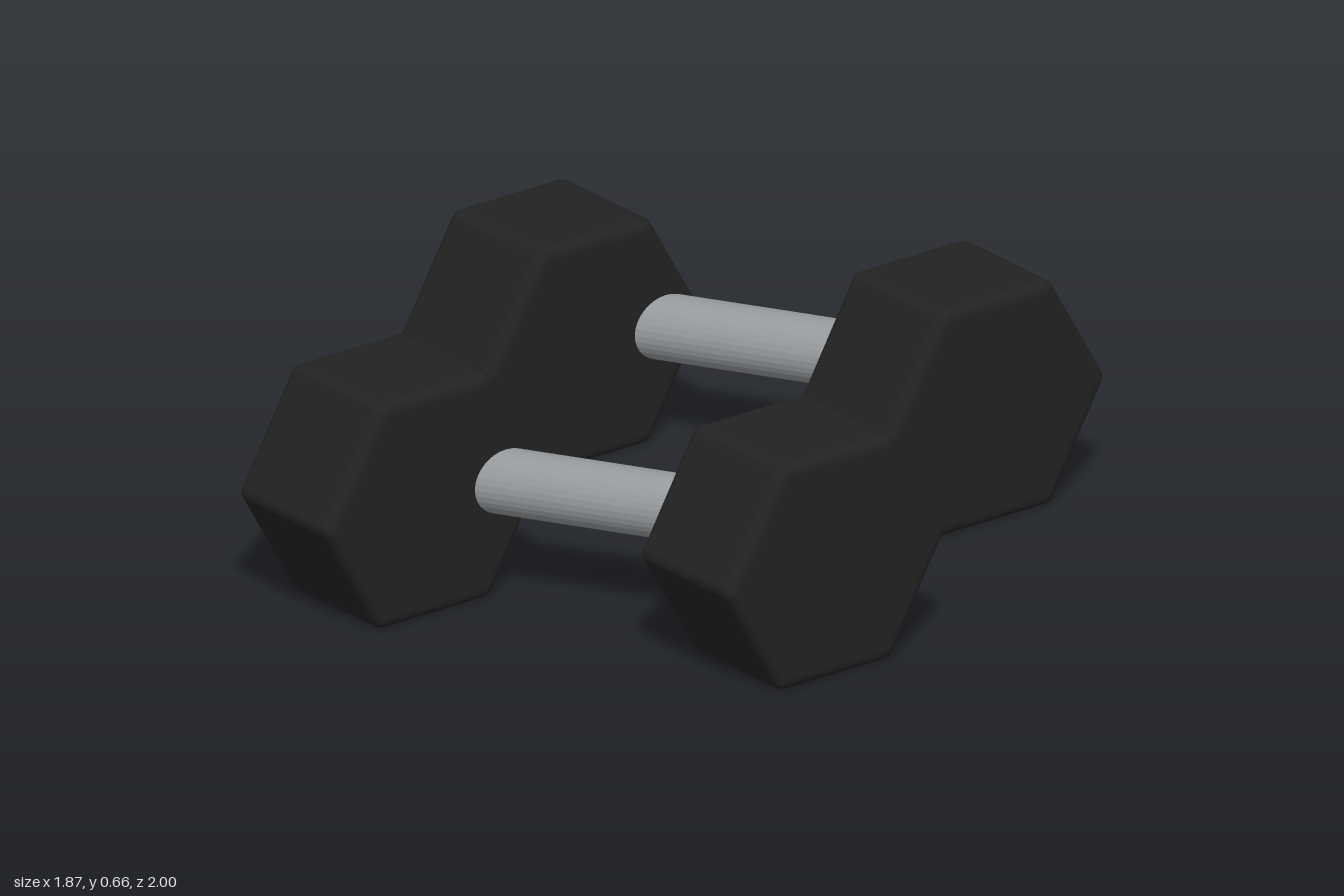
import * as THREE from 'three';
import { mergeVertices } from 'three/addons/utils/BufferGeometryUtils.js';

const APOTHEM = 0.33, THICKNESS = 0.4, BEVEL = 0.032, CORNER = 0.008;

// Hexagonal prism with softly rounded edges, lying along its local z axis
function hexHeadGeometry() {
  const points = [];
  const reach = (APOTHEM - BEVEL - CORNER) / Math.cos(Math.PI / 6);
  for (let k = 0; k < 6; k++) {
    const a = k * Math.PI / 3;
    for (let j = -2; j <= 2; j++) {
      const b = a + j * Math.PI / 12;
      points.push(new THREE.Vector2(
        reach * Math.cos(a) + CORNER * Math.cos(b),
        reach * Math.sin(a) + CORNER * Math.sin(b)));
    }
  }
  const depth = THICKNESS - 2 * BEVEL;
  let geo = new THREE.ExtrudeGeometry(new THREE.Shape(points), {
    depth, bevelEnabled: true, bevelThickness: BEVEL, bevelSize: BEVEL, bevelSegments: 5,
  });
  geo.translate(0, 0, -depth / 2);
  // Weld so the large faces stay flat and the rounded edges shade smoothly
  geo.deleteAttribute('uv');
  geo.deleteAttribute('normal');
  geo = mergeVertices(geo, 1e-5);
  geo.computeVertexNormals();
  return geo;
}

export function createModel() {
  const rubber = new THREE.MeshStandardMaterial({ color: 0x222222 });
  rubber.name = 'blackRubber';
  const steel = new THREE.MeshStandardMaterial({ color: 0x95999c, flatShading: true });
  steel.name = 'greySteel';

  const headGeo = hexHeadGeometry();
  const barGeo = new THREE.CylinderGeometry(0.0925, 0.0925, 0.8, 32);
  barGeo.rotateZ(Math.PI / 2);

  const model = new THREE.Group();
  model.name = 'dumbbellPair';
  for (const [name, z] of [['frontDumbbell', 0.585], ['backDumbbell', -0.585]]) {
    const dumbbell = new THREE.Group();
    dumbbell.name = name;
    dumbbell.position.set(0, APOTHEM, z);

    // Heads, both turned the same way about the vertical
    for (const side of [-1, 1]) {
      const head = new THREE.Mesh(headGeo, rubber);
      head.name = side > 0 ? 'leftHead' : 'rightHead';
      head.position.x = side * 0.585;
      head.rotation.y = Math.PI / 3;
      dumbbell.add(head);
    }

    // Handle bar, set slightly behind the head centres
    const bar = new THREE.Mesh(barGeo, steel);
    bar.name = 'handleBar';
    bar.position.set(0, 0.003, -0.105);
    dumbbell.add(bar);
    model.add(dumbbell);
  }
  return model;
}
